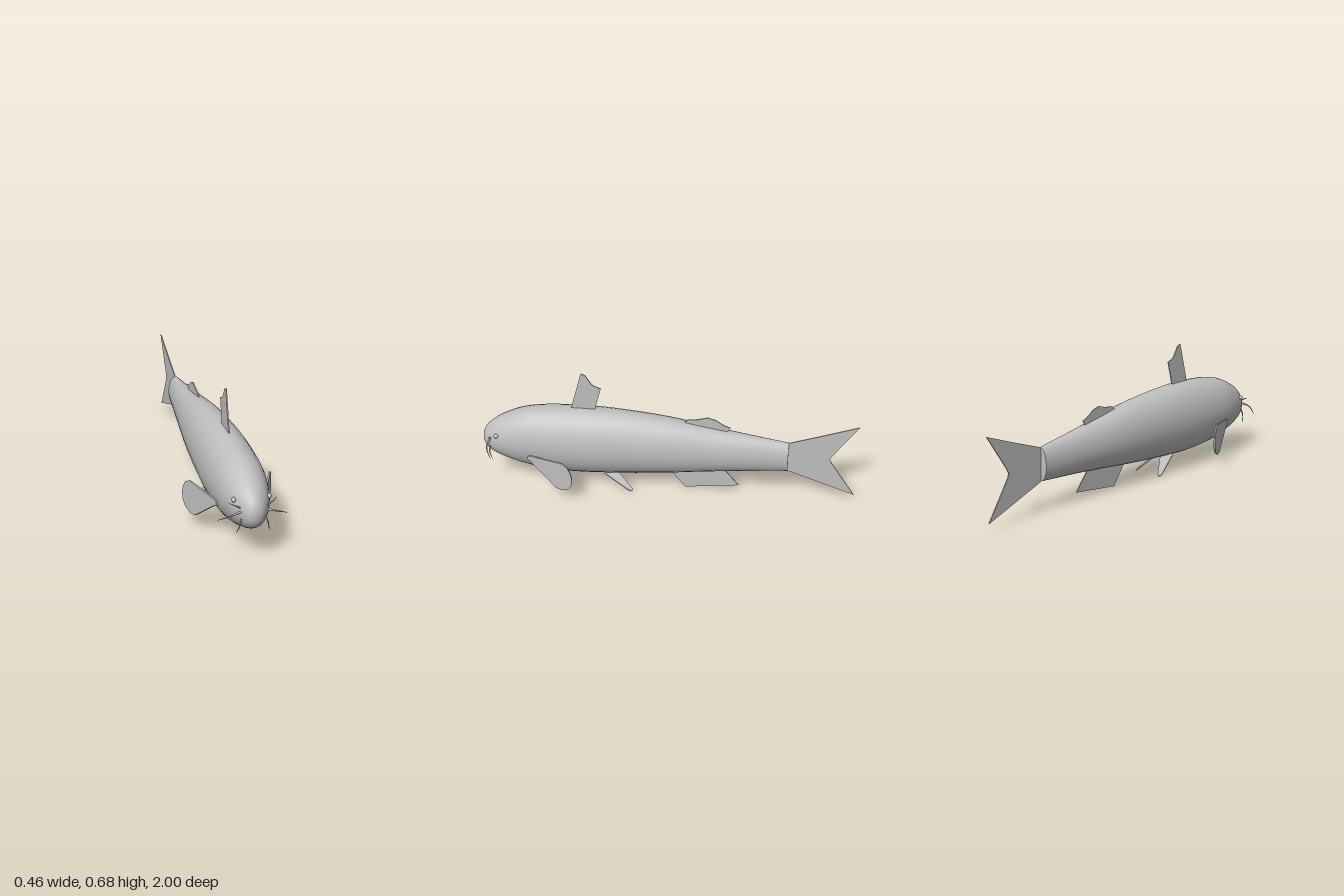
import * as THREE from 'three';
import { mergeVertices } from 'three/addons/utils/BufferGeometryUtils.js';

const skin = new THREE.MeshStandardMaterial({ color: 0xbfbfbf });
skin.name = 'grey skin';

function add(group, name, geometry) {
  const mesh = new THREE.Mesh(geometry, skin);
  mesh.name = name;
  group.add(mesh);
  return mesh;
}

// Body: elliptical sections [z, bottom, top, half width], nose to tail
const SECTIONS = [
  [0.998, 0.25, 0.25, 0], [0.99, 0.21, 0.287, 0.03], [0.97, 0.18, 0.32, 0.052],
  [0.94, 0.16, 0.348, 0.073], [0.9, 0.142, 0.377, 0.092], [0.8, 0.11, 0.425, 0.118],
  [0.7, 0.088, 0.45, 0.13], [0.5, 0.072, 0.466, 0.135], [0.3, 0.08, 0.463, 0.13],
  [0, 0.103, 0.437, 0.11], [-0.2, 0.125, 0.402, 0.09], [-0.4, 0.143, 0.37, 0.067],
  [-0.64, 0.16, 0.335, 0.04],
];

function bodyGeometry(sides = 28, rings = 48) {
  const edge = (k) => new THREE.CatmullRomCurve3(
    SECTIONS.map((s) => new THREE.Vector3(s[3], s[k], s[0])));
  const low = edge(1), high = edge(2);
  const pos = [], index = [];
  for (let i = 0; i <= rings; i++) {
    const a = low.getPoint(i / rings), b = high.getPoint(i / rings);
    const cy = (a.y + b.y) / 2, ry = (b.y - a.y) / 2;
    for (let j = 0; j < sides; j++) {
      const t = (j / sides) * Math.PI * 2;
      pos.push(a.x * Math.cos(t), cy + ry * Math.sin(t), a.z);
      if (i === rings) continue;
      const p = i * sides + j, q = i * sides + (j + 1) % sides;
      index.push(p, p + sides, q, q, p + sides, q + sides);
    }
  }
  let geo = new THREE.BufferGeometry();
  geo.setAttribute('position', new THREE.Float32BufferAttribute(pos, 3));
  geo.setIndex(index);
  geo = mergeVertices(geo, 1e-5);
  geo.computeVertexNormals();
  return geo;
}

// Thin slab from an outline
function slab(points, thickness) {
  const shape = new THREE.Shape(points.map(([x, y]) => new THREE.Vector2(x, y)));
  const geo = new THREE.ExtrudeGeometry(shape, { depth: thickness, bevelEnabled: false });
  return geo.translate(0, 0, -thickness / 2);
}

// Upright fin from a [z, y] outline
const uprightFin = (points, thickness = 0.006) => slab(points, thickness).rotateY(-Math.PI / 2);

// Move vertices by a rule
function bend(geo, rule) {
  const p = geo.attributes.position, v = new THREE.Vector3();
  for (let i = 0; i < p.count; i++) {
    rule(v.fromBufferAttribute(p, i));
    p.setXYZ(i, v.x, v.y, v.z);
  }
  geo.computeVertexNormals();
  return geo;
}

// Whisker tapering to a point
function whisker(points, radius) {
  const n = 12, sides = 8;
  const curve = new THREE.CatmullRomCurve3(points.map((p) => new THREE.Vector3(...p)));
  const geo = new THREE.TubeGeometry(curve, n, radius, sides);
  const p = geo.attributes.position, v = new THREE.Vector3();
  for (let i = 0; i < p.count; i++) {
    const t = Math.floor(i / (sides + 1)) / n;
    const c = curve.getPointAt(t);
    v.fromBufferAttribute(p, i).sub(c).multiplyScalar(1 - 0.85 * t).add(c);
    p.setXYZ(i, v.x, v.y, v.z);
  }
  return geo;
}

export function createModel() {
  const fish = new THREE.Group();
  fish.name = 'catfish';

  add(fish, 'body', bodyGeometry());
  const stump = add(fish, 'tailStump', new THREE.CircleGeometry(1, 28));
  stump.rotation.y = Math.PI;
  stump.scale.set(0.04, 0.0875, 1);
  stump.position.set(0, 0.2475, -0.64);

  // Fins on the centre line; roots run into the body
  add(fish, 'dorsalFin', uprightFin([
    [0.52, 0.44], [0.51, 0.47], [0.453, 0.68], [0.43, 0.67], [0.405, 0.63], [0.39, 0.61],
    [0.35, 0.595], [0.385, 0.465], [0.39, 0.44]]));
  add(fish, 'adiposeFin', uprightFin([
    [-0.075, 0.4], [-0.085, 0.415], [-0.105, 0.438], [-0.16, 0.445], [-0.21, 0.46],
    [-0.255, 0.447], [-0.29, 0.422], [-0.33, 0.405], [-0.31, 0.37]]));
  add(fish, 'analFin', uprightFin([
    [0, 0.13], [-0.015, 0.108], [-0.095, 0], [-0.385, 0.037], [-0.3, 0.14], [-0.29, 0.16]]));
  add(fish, 'tailFin', uprightFin([
    [-0.635, 0.334], [-0.82, 0.4], [-0.998, 0.466], [-0.87, 0.275], [-0.858, 0.25],
    [-0.87, 0.225], [-0.998, 0.032], [-0.82, 0.095], [-0.635, 0.161]]));

  for (const s of [1, -1]) {
    const side = s > 0 ? 'left' : 'right';

    // Pectoral fin, swept out and back
    const pectoral = uprightFin([
      [0.735, 0.215], [0.72, 0.221], [0.533, 0.245], [0.503, 0.228], [0.485, 0.195],
      [0.478, 0.16], [0.484, 0.12], [0.503, 0.09], [0.54, 0.07], [0.575, 0.072],
      [0.715, 0.185], [0.735, 0.195]], 0.009);
    add(fish, side + 'PectoralFin', bend(pectoral, (v) => {
      v.x += s * (0.13 + (0.71 - v.z) * 0.417);
    }));

    // Pelvic fin, sloping down, out and back
    const pelvic = slab([
      [0.04, 0.35], [0.053, 0.33], [0.085, 0.205], [0.085, 0.19], [0.08, 0.18],
      [0.072, 0.182], [0.022, 0.26], [0.01, 0.28]].map(([x, z]) => [s * x, -z]), 0.006);
    pelvic.rotateX(-Math.PI / 2);
    add(fish, side + 'PelvicFin', bend(pelvic, (v) => {
      v.y += 0.083 - 0.608 * (s * v.x - 0.053) + 0.412 * (v.z - 0.33);
    }));

    // Eye
    const eye = add(fish, side + 'Eye', new THREE.SphereGeometry(0.013, 16, 12));
    eye.scale.x = 0.8;
    eye.position.set(s * 0.087, 0.305, 0.908);

    // Whiskers
    add(fish, side + 'UpperWhisker', whisker([
      [s * 0.062, 0.276, 0.945], [s * 0.09, 0.291, 0.945], [s * 0.122, 0.302, 0.92]], 0.004));
    add(fish, side + 'MiddleWhisker', whisker([
      [s * 0.06, 0.26, 0.95], [s * 0.11, 0.247, 0.958], [s * 0.172, 0.215, 0.925]], 0.006));
    add(fish, side + 'LowerWhisker', whisker([
      [s * 0.058, 0.224, 0.95], [s * 0.07, 0.188, 0.955], [s * 0.081, 0.142, 0.935]], 0.005));
  }
  return fish;
}
